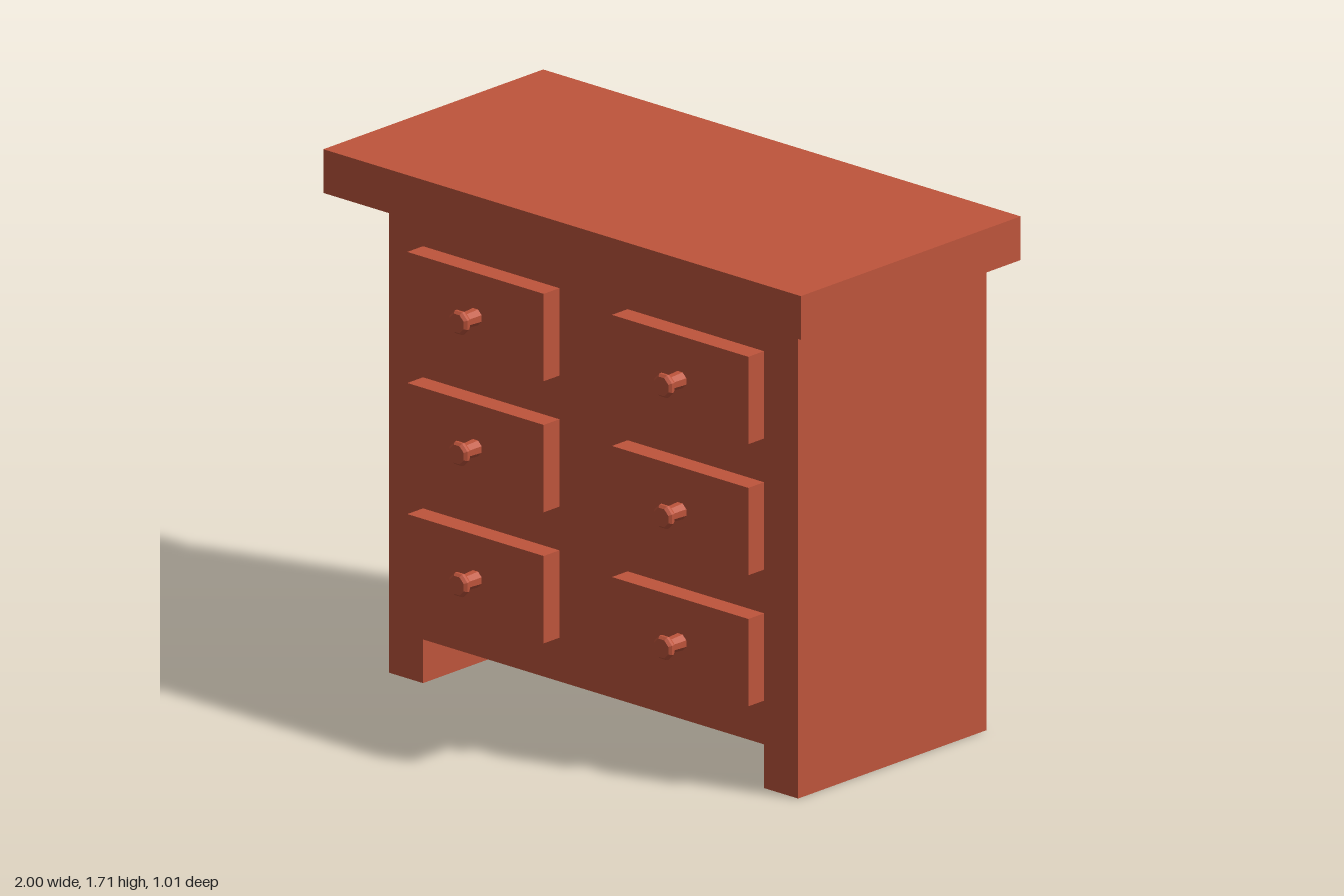
import * as THREE from 'three';

const U = 1 / 7; // plank thickness, the module of the whole design
const BACK = -0.507, FRONT = BACK + 6 * U;
const material = new THREE.MeshStandardMaterial({ color: 0xbf553c, flatShading: true });

// Box given by its lower and upper corners
function board(name, x0, x1, y0, y1, z0, z1) {
  const mesh = new THREE.Mesh(new THREE.BoxGeometry(x1 - x0, y1 - y0, z1 - z0), material);
  mesh.position.set((x0 + x1) / 2, (y0 + y1) / 2, (z0 + z1) / 2);
  mesh.name = name;
  return mesh;
}

// Turned eight-sided knob pointing along +z
function makeKnob() {
  const profile = [[0.028, 0], [0.025, 0.05], [0.032, 0.058], [0.04, 0.068], [0.04, 0.077], [0.032, 0.086], [0, 0.086]];
  const geometry = new THREE.LatheGeometry(profile.map(([r, h]) => new THREE.Vector2(r, h)), 8, Math.PI / 8);
  geometry.rotateX(Math.PI / 2);
  const knob = new THREE.Mesh(geometry, material);
  knob.name = 'knob';
  return knob;
}

export function createModel() {
  const model = new THREE.Group();
  model.name = 'chestOfDrawers';

  // Overhanging top
  model.add(board('top', -1, 1, 11 * U, 12 * U, BACK, BACK + 7 * U));

  // Side panels reaching the floor
  for (const [name, x] of [['rightSide', -6 * U], ['leftSide', 5 * U]]) {
    model.add(board(name, x, x + U, 0, 11 * U, BACK, FRONT));
  }

  // Horizontal rails between the drawer rows
  for (let i = 0; i < 4; i++) {
    const y = (1 + 3 * i) * U;
    model.add(board('rail', -5 * U, 5 * U, y, y + U, BACK, FRONT));
  }

  // Each row: two half dividers, two drawers with knobs
  for (let row = 0; row < 3; row++) {
    const y0 = (2 + 3 * row) * U, y1 = y0 + 2 * U;
    for (const side of [-1, 1]) {
      const span = (a, b) => (side > 0 ? [a, b] : [-b, -a]);
      model.add(board('divider', ...span(0, U), y0, y1, BACK, FRONT));

      const drawer = new THREE.Group();
      drawer.name = 'drawer';
      const face = FRONT + U / 2;
      drawer.add(board('drawerBox', ...span(U, 5 * U), y0, y1, BACK, face));
      const knob = makeKnob();
      knob.position.set(side * 3 * U, (y0 + y1) / 2, face);
      drawer.add(knob);
      model.add(drawer);
    }
  }
  return model;
}
